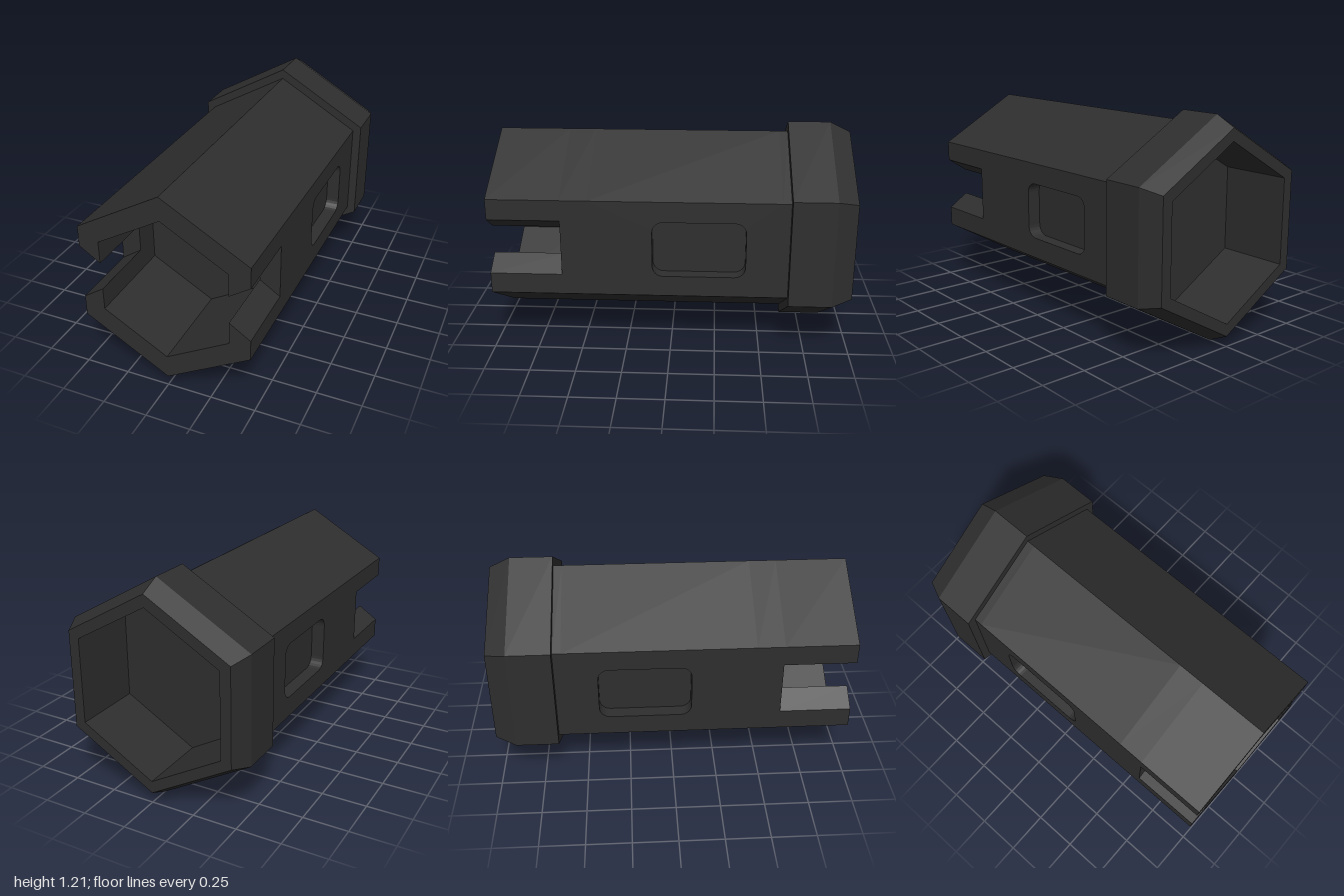
import * as THREE from 'three';

const BODY = 0.549, COLLAR = 0.605, BORE = 0.415, POCKET = 0.48; // hexagon corner radii
const C = Math.cos(Math.PI / 6);
const FRONT_FLOOR = 0.45, BACK_FLOOR = -0.6, NOTCH_END = 0.6;
const RECESS_X = 0.4, HALF = 0.158; // recess floor, half height of notch and recess

const shapeOf = pts => new THREE.Shape(pts.map(p => new THREE.Vector2(...p)));
const extrude = (shape, depth) =>
  new THREE.ExtrudeGeometry(shape, { depth, bevelEnabled: false, curveSegments: 3 });

// Six-sided revolve along z from [radius, z] points, with flat faces
function hexRevolve(profile) {
  const g = new THREE.LatheGeometry(profile.map(p => new THREE.Vector2(...p)), 6)
    .rotateX(Math.PI / 2).toNonIndexed();
  g.computeVertexNormals();
  return g;
}

export function createModel() {
  const model = new THREE.Group();
  model.name = 'hexSocket';
  const black = new THREE.MeshStandardMaterial({ color: 0x2e2e2e });
  black.name = 'matteBlack';

  const add = (name, geometry, turn = 0) => {
    const mesh = new THREE.Mesh(geometry, black);
    mesh.name = name;
    mesh.position.y = COLLAR;
    mesh.rotation.z = turn;
    model.add(mesh);
  };

  // Rear collar with its open pocket
  add('rearCollar', hexRevolve([
    [POCKET, BACK_FLOOR], [POCKET, -1], [BODY, -1], [COLLAR, -0.885],
    [COLLAR, -0.647], [BODY, -0.647], [BODY, BACK_FLOOR],
  ]));

  // Closed ring behind the notches
  add('frontRing', hexRevolve([
    [BODY, FRONT_FLOOR], [BODY, NOTCH_END], [BORE, NOTCH_END], [BORE, FRONT_FLOOR],
  ]));

  // Solid core, set back on both flat sides; its ends are the socket floors
  const x = BODY * C, y = BODY / 2;
  const core = extrude(shapeOf([
    [0, BODY], [-x, y], [-RECESS_X, y], [-RECESS_X, -y], [-x, -y],
    [0, -BODY], [x, -y], [RECESS_X, -y], [RECESS_X, y], [x, y],
  ]), FRONT_FLOOR - BACK_FLOOR);
  add('core', core.translate(0, 0, BACK_FLOOR));

  // Side panel with a rounded recess cut through to the core
  const panel = shapeOf([[-FRONT_FLOOR, -y], [-BACK_FLOOR, -y], [-BACK_FLOOR, y], [-FRONT_FLOOR, y]]);
  const hole = new THREE.Path(), a = -0.1, b = 0.412, r = 0.06;
  hole.absarc(b - r, HALF - r, r, 0, Math.PI / 2);
  hole.absarc(a + r, HALF - r, r, Math.PI / 2, Math.PI);
  hole.absarc(a + r, r - HALF, r, Math.PI, Math.PI * 1.5);
  hole.absarc(b - r, r - HALF, r, Math.PI * 1.5, Math.PI * 2);
  hole.closePath();
  panel.holes.push(hole);
  const panelGeometry = extrude(panel, x - RECESS_X).rotateY(Math.PI / 2).translate(RECESS_X, 0, 0);

  // Front jaw: half of the tube, with slanted notch edges
  const ix = BORE * C, iy = BORE / 2, notch = 0.08;
  const jawGeometry = extrude(shapeOf([
    [x, HALF], [x, y], [0, BODY], [-x, y], [-x, HALF],
    [-ix, notch], [-ix, iy], [0, BORE], [ix, iy], [ix, notch],
  ]), 1 - NOTCH_END).translate(0, 0, NOTCH_END);

  // Both come in pairs, half a turn apart
  add('leftPanel', panelGeometry);
  add('rightPanel', panelGeometry, Math.PI);
  add('upperJaw', jawGeometry);
  add('lowerJaw', jawGeometry, Math.PI);

  return model;
}
